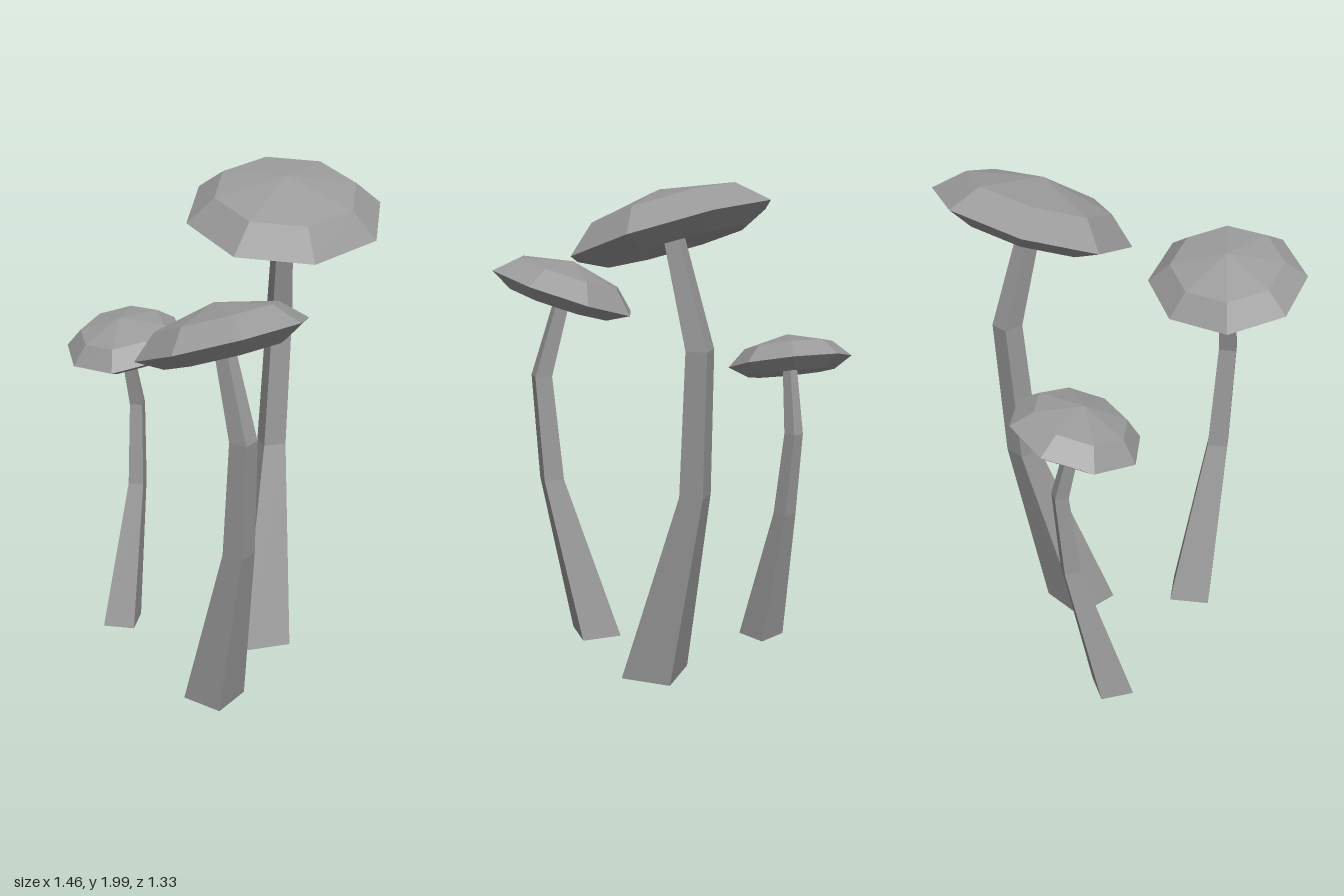
import * as THREE from 'three';

const material = new THREE.MeshStandardMaterial({ color: 0x999999, flatShading: true, side: THREE.DoubleSide });

// Skins a stack of regular polygon rings {x, y, z, r}, listed from the bottom up.
function loft(rings, sides, degrees) {
  const positions = [];
  const corner = (ring, i) => {
    const a = THREE.MathUtils.degToRad(degrees) + ((i % sides) / sides) * Math.PI * 2;
    return [ring.x + ring.r * Math.cos(a), ring.y, ring.z + ring.r * Math.sin(a)];
  };
  for (let k = 0; k < rings.length - 1; k++) {
    const low = rings[k], high = rings[k + 1];
    for (let i = 0; i < sides; i++) {
      const a = corner(low, i), b = corner(low, i + 1);
      const c = corner(high, i + 1), d = corner(high, i);
      if (low.r > 0) positions.push(...a, ...d, ...b);
      if (high.r > 0) positions.push(...b, ...d, ...c);
    }
  }
  const geometry = new THREE.BufferGeometry();
  geometry.setAttribute('position', new THREE.Float32BufferAttribute(positions, 3));
  geometry.computeVertexNormals();
  return geometry;
}

// Four-sided bent stem, open at the ground; path rows are [x, y, z, radius].
function makeStem({ path, turn }) {
  const rings = path.map(([x, y, z, r]) => ({ x, y, z, r }));
  const stem = new THREE.Mesh(loft(rings, 4, turn), material);
  stem.name = 'stem';
  return stem;
}

// Eight-sided cap with a hollowed underside; profile rows are [radius, height from the rim].
function makeCap({ centre, slope, profile, turn }) {
  const rings = profile.map(([r, y]) => ({ x: 0, y, z: 0, r }));
  const cap = new THREE.Mesh(loft(rings, 8, turn), material);
  cap.name = 'cap';
  cap.position.set(...centre);
  // slope is the rise of the rim along x and z
  const normal = new THREE.Vector3(-slope[0], 1, -slope[1]).normalize();
  cap.quaternion.setFromUnitVectors(new THREE.Vector3(0, 1, 0), normal);
  return cap;
}

const mushrooms = [
  {
    name: 'tallMushroom',
    stem: {
      turn: -20.9,
      path: [[0.093, 0, -0.138, 0.147], [-0.053, 0.81, -0.328, 0.067], [-0.065, 1.38, -0.373, 0.059], [0.028, 1.8, -0.3, 0.043]],
    },
    cap: {
      turn: 25.7, centre: [0.036, 1.805, -0.3], slope: [-0.27, -0.2],
      profile: [[0, 0.005], [0.28, -0.055], [0.397, 0], [0.287, 0.098], [0, 0.16]],
    },
  },
  {
    name: 'middleMushroom',
    stem: {
      turn: 30,
      path: [[0.325, 0, 0.305, 0.12], [0.507, 0.7, 0.338, 0.06], [0.54, 1.15, 0.348, 0.051], [0.435, 1.515, 0.358, 0.037]],
    },
    cap: {
      turn: 26, centre: [0.441, 1.505, 0.36], slope: [0.34, -0.04],
      profile: [[0, 0.01], [0.225, -0.052], [0.319, 0], [0.227, 0.082], [0, 0.132]],
    },
  },
  {
    name: 'smallMushroom',
    stem: {
      turn: 5,
      path: [[-0.398, 0, 0.23, 0.095], [-0.467, 0.6, 0.08, 0.046], [-0.493, 0.95, 0.052, 0.038], [-0.48, 1.245, 0.118, 0.028]],
    },
    cap: {
      turn: 5, centre: [-0.482, 1.24, 0.116], slope: [-0.08, -0.28],
      profile: [[0, 0.005], [0.178, -0.048], [0.253, 0], [0.18, 0.068], [0, 0.112]],
    },
  },
];

export function createModel() {
  const model = new THREE.Group();
  model.name = 'mushroomCluster';
  for (const { name, stem, cap } of mushrooms) {
    const mushroom = new THREE.Group();
    mushroom.name = name;
    mushroom.add(makeStem(stem), makeCap(cap));
    model.add(mushroom);
  }
  return model;
}
